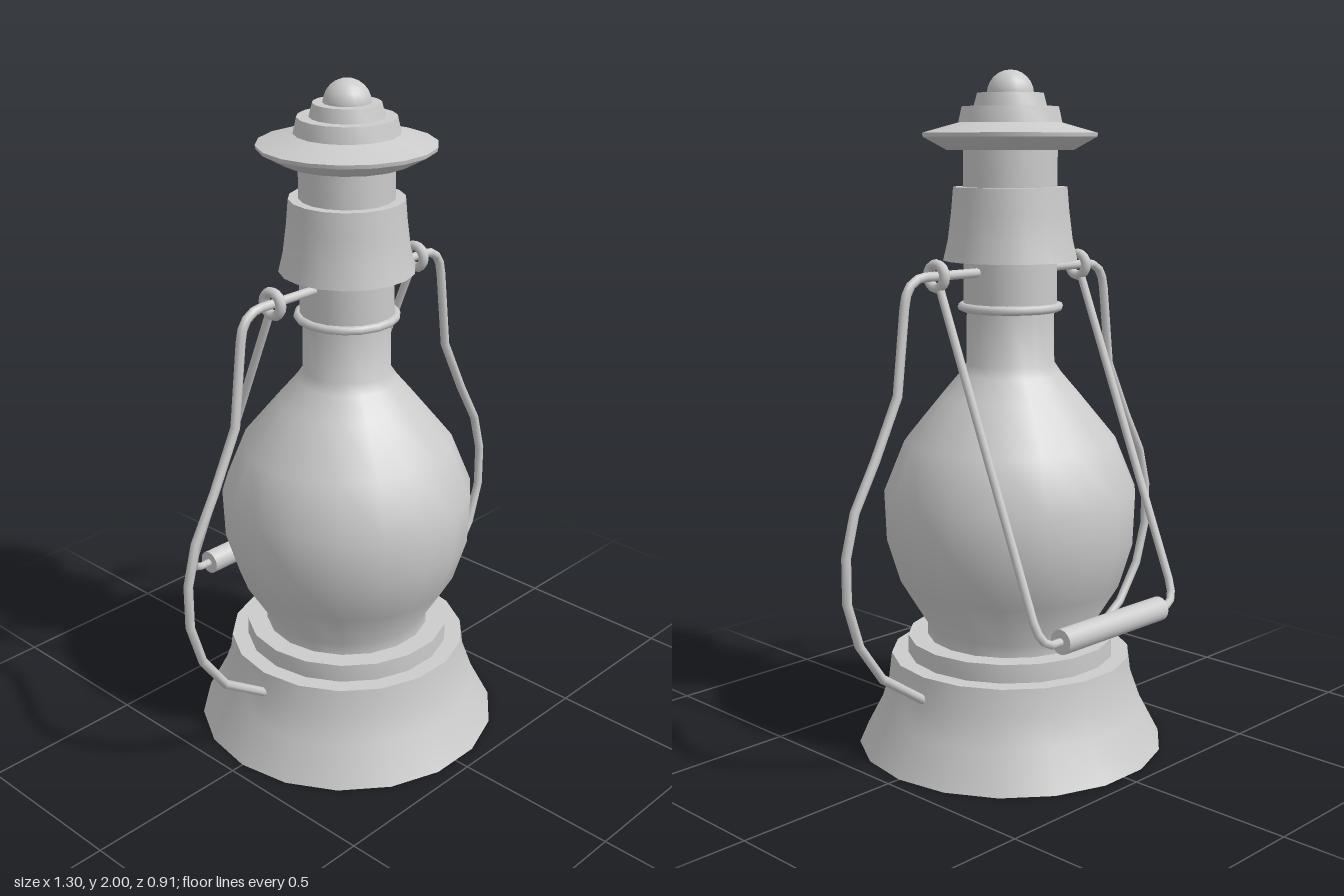
import * as THREE from 'three';
import { toCreasedNormals } from 'three/addons/utils/BufferGeometryUtils.js';

const material = new THREE.MeshStandardMaterial({ color: 0xcccccc, side: THREE.DoubleSide });

// Polyline whose tube rings sit exactly on the given points
class Wire extends THREE.Curve {
  constructor(points) {
    super();
    this.points = points.map((p) => new THREE.Vector3(...p));
  }
  getPoint(t, target = new THREE.Vector3()) {
    const last = this.points.length - 1;
    const i = Math.min(Math.floor(t * last + 1e-6), last - 1);
    return target.lerpVectors(this.points[i], this.points[i + 1], t * last - i);
  }
  getPointAt(u, target) {
    return this.getPoint(u, target);
  }
  getTangentAt(u, target = new THREE.Vector3()) {
    const p = this.points, last = p.length - 1, i = Math.round(u * last);
    target.set(0, 0, 0);
    if (i > 0) target.add(p[i].clone().sub(p[i - 1]).normalize());
    if (i < last) target.add(p[i + 1].clone().sub(p[i]).normalize());
    return target.normalize();
  }
}

export function createModel() {
  const model = new THREE.Group();
  model.name = 'lantern';

  function add(name, geometry, x = 0, y = 0, z = 0) {
    const mesh = new THREE.Mesh(geometry, material);
    mesh.name = name;
    mesh.position.set(x, y, z);
    model.add(mesh);
    return mesh;
  }

  // Turned part: [radius, height] pairs from bottom to top
  function turned(name, profile, sides = 18) {
    const points = profile.map(([r, y]) => new THREE.Vector2(r, y));
    const geometry = new THREE.LatheGeometry(points, sides, Math.PI / 2);
    return add(name, toCreasedNormals(geometry, 0.75));
  }

  function wire(name, points, radius) {
    return add(name, new THREE.TubeGeometry(new Wire(points), points.length - 1, radius, 8));
  }

  // Flared foot with a step on top
  turned('base', [
    [0, 0], [0.46, 0], [0.4, 0.115], [0.37, 0.2], [0.36, 0.28],
    [0.31, 0.28], [0.31, 0.335], [0.24, 0.335],
  ]);

  // Glass globe with its neck
  turned('globe', [
    [0.25, 0.33], [0.25, 0.37], [0.33, 0.5], [0.37, 0.63], [0.376, 0.78],
    [0.315, 0.93], [0.205, 1.065], [0.15, 1.13], [0.13, 1.16], [0.128, 1.32],
  ]);

  // Chimney, its bottom collar and the flared sleeve around it
  turned('chimney', [[0.12, 1.31], [0.137, 1.31], [0.137, 1.79]]);
  add('collarRing', new THREE.TorusGeometry(0.142, 0.013, 8, 18), 0, 1.325).rotation.x = Math.PI / 2;
  turned('sleeve', [
    [0.137, 1.46], [0.196, 1.46], [0.182, 1.52], [0.172, 1.6], [0.166, 1.67], [0.135, 1.67],
  ]);

  // Wide stepped cap and knob
  turned('cap', [
    [0, 1.775], [0.185, 1.775], [0.252, 1.812], [0.254, 1.823], [0.2, 1.838], [0.15, 1.852],
    [0.14, 1.897], [0.106, 1.897], [0.096, 1.935], [0, 1.935],
  ]);
  add('knob', new THREE.SphereGeometry(0.068, 18, 12), 0, 1.932);

  // Bent side rails, handle eyes and swinging handle arms
  for (const side of [1, -1]) {
    const label = side > 0 ? 'left' : 'right';
    const rail = [
      [0.12, 1.43], [0.34, 1.43], [0.365, 1.426], [0.392, 1.41], [0.408, 1.385], [0.416, 1.35],
      [0.445, 1.11], [0.53, 0.94], [0.605, 0.81], [0.638, 0.69], [0.638, 0.56],
      [0.597, 0.43], [0.515, 0.315], [0.35, 0.205],
    ];
    wire(label + 'Rail', rail.map(([x, y]) => [side * x, y, 0]), 0.0135);

    add(label + 'HandleEye', new THREE.TorusGeometry(0.033, 0.015, 8, 16), side * 0.295, 1.43)
      .rotation.y = Math.PI / 2;

    // [x, fraction of the way down from the eye to the grip]
    const arm = [[0.295, 0.03], [0.295, 0.93], [0.289, 0.965], [0.275, 0.988], [0.25, 1], [0.2, 1]];
    wire(label + 'HandleArm', arm.map(([x, t]) => [side * x, 1.43 - 0.985 * t, -0.4 * t]), 0.012);
  }

  // Grip hanging behind the globe
  const grip = toCreasedNormals(new THREE.CylinderGeometry(0.036, 0.036, 0.43, 16), 0.75);
  add('handleGrip', grip, 0, 0.445, -0.4).rotation.z = Math.PI / 2;

  return model;
}
